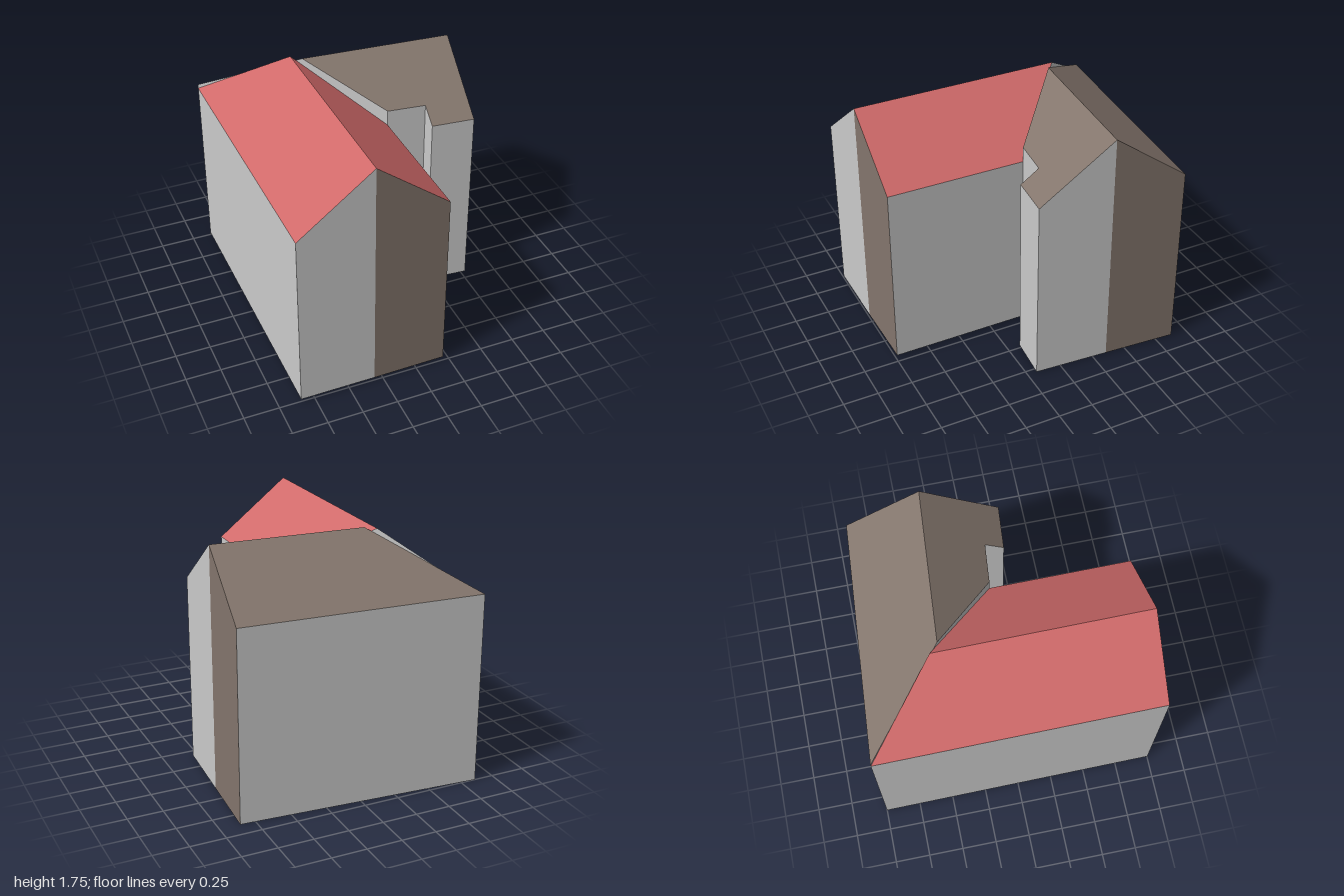
import * as THREE from 'three';

const RIDGE_Y = 1.75;

const wallGrey = new THREE.MeshStandardMaterial({ color: 0xcccccc });
const roofRed = new THREE.MeshStandardMaterial({ color: 0xd06a6a });
const brown = new THREE.MeshStandardMaterial({ color: 0x84766d });

function addMesh(group, geometry, material, name) {
  const flat = geometry.index ? geometry.toNonIndexed() : geometry;
  flat.computeVertexNormals();
  const mesh = new THREE.Mesh(flat, material);
  mesh.name = name;
  group.add(mesh);
}

// Height of a pitched roof, falling away evenly from the ridge line a-b
function roofHeight(a, b, pitch) {
  const dx = b[0] - a[0], dz = b[1] - a[1], len = Math.hypot(dx, dz);
  return (x, z) => RIDGE_Y - pitch * Math.abs((x - a[0]) * dz - (z - a[1]) * dx) / len;
}

// Flat polygon from [x, z] points, facing up or down
function polygon(points, up) {
  const s = up ? -1 : 1;
  const shape = new THREE.Shape(points.map(([x, z]) => new THREE.Vector2(x, s * z)));
  return new THREE.ShapeGeometry(shape).rotateX(s * Math.PI / 2);
}

// One wing: plan runs anticlockwise seen from above and includes both ridge ends
function wing({ name, plan, ridge, pitch, base, slopes, roofMaterial, brownEdge }) {
  const group = new THREE.Group();
  group.name = name;
  const height = roofHeight(plan[ridge[0]], plan[ridge[1]], pitch);

  // Walls, one upright face for each edge of the plan
  plan.forEach(([x0, z0], i) => {
    const [x1, z1] = plan[(i + 1) % plan.length];
    const a = [x0, base, z0], b = [x1, base, z1];
    const c = [x1, height(x1, z1), z1], d = [x0, height(x0, z0), z0];
    const geo = new THREE.BufferGeometry();
    geo.setAttribute('position', new THREE.Float32BufferAttribute([a, b, c, a, c, d].flat(), 3));
    const painted = i === brownEdge;
    addMesh(group, geo, painted ? brown : wallGrey, painted ? 'brownGableHalf' : 'wall');
  });

  // Roof slopes, lifted to the pitch
  for (const ids of slopes) {
    const geo = polygon(ids.map(i => plan[i]), true);
    const p = geo.attributes.position;
    for (let i = 0; i < p.count; i++) p.setY(i, height(p.getX(i), p.getZ(i)));
    addMesh(group, geo, roofMaterial, 'roofSlope');
  }

  // Underside
  addMesh(group, polygon(plan, false).translate(0, base, 0), wallGrey, 'floor');
  return group;
}

export function createModel() {
  const model = new THREE.Group();
  model.name = 'twoWingHouse';

  // Front wing with the red roof
  model.add(wing({
    name: 'frontWing',
    plan: [[-0.86, -1], [-0.845, 1], [-0.31, 0.997], [0.21, 0.99], [0.205, 0], [-0.32, -0.493]],
    ridge: [2, 5], pitch: 0.768, base: 0.02,
    slopes: [[0, 1, 2, 5], [2, 3, 4, 5]],
    roofMaterial: roofRed, brownEdge: 2,
  }));

  // Side wing with the brown roof and a notched front
  model.add(wing({
    name: 'sideWing',
    plan: [[-0.86, -1], [-0.255, -0.432], [0.205, 0], [0.48, 0.025],
      [0.475, 0.155], [0.785, 0.18], [0.82, -0.355], [0.855, -0.88]],
    ridge: [1, 6], pitch: 0.727, base: 0,
    slopes: [[0, 1, 6, 7], [1, 2, 3, 4, 5, 6]],
    roofMaterial: brown, brownEdge: 6,
  }));

  return model;
}
